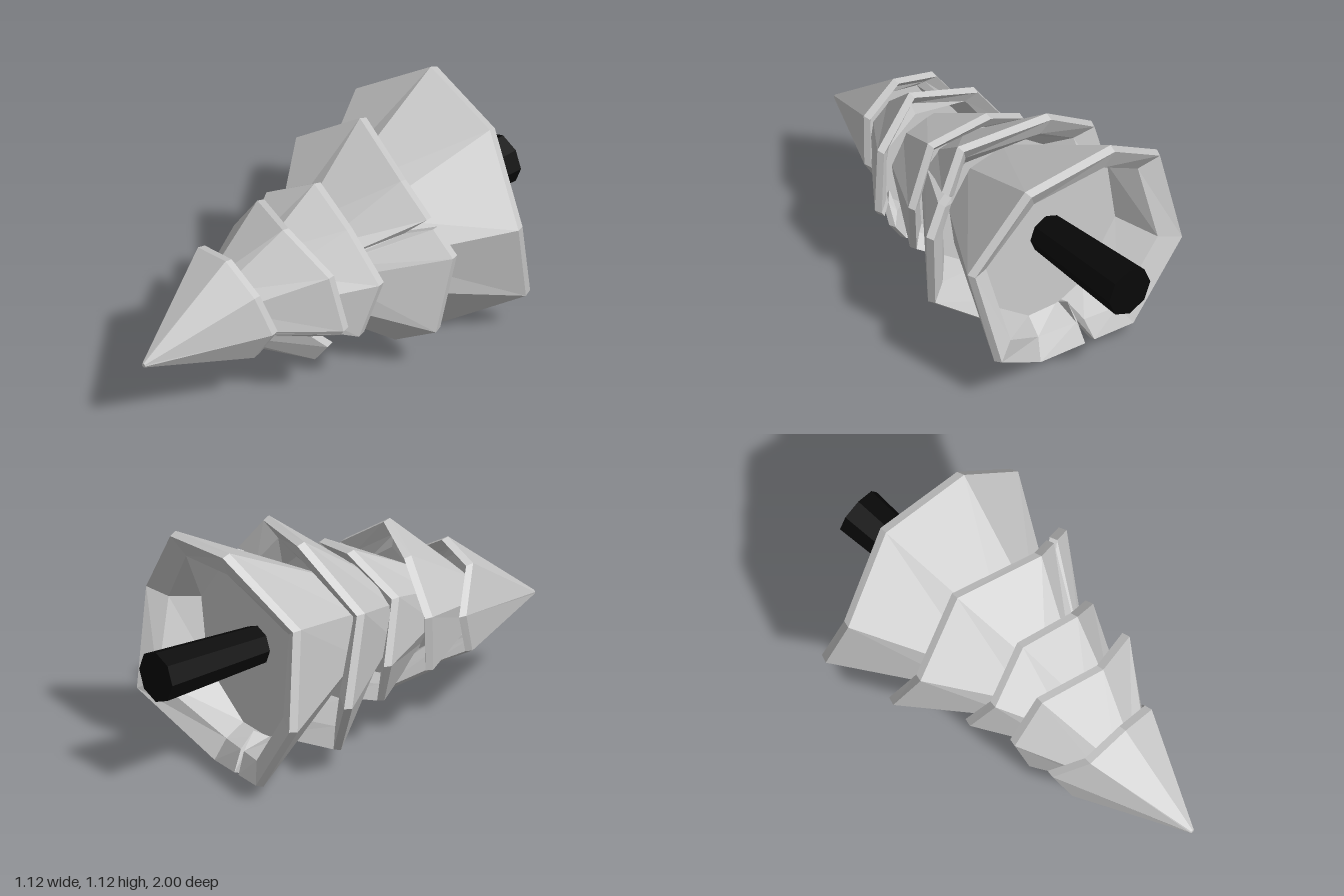
import * as THREE from 'three';

const grey = new THREE.MeshStandardMaterial({ color: 0xcccccc, flatShading: true });
const black = new THREE.MeshStandardMaterial({ color: 0x080808, flatShading: true });

// Each tier is an eight-cornered skirt: centre, rim radius, angle of the first corner
// (degrees clockwise from the top, seen from the front), depth z of each corner,
// neck and hollow as [radius, z], and an optional split as [edge, from, to, depth, forward].
const TIERS = [
  { center: [-0.058, 0.53], radius: 0.268, start: -36, tip: [-0.06, 0.43], neck: [0.01, 1], hollow: [0.18, 0.59],
    depths: [0.55, 0.57, 0.56, 0.5, 0.51, 0.44, 0.5, 0.43] },
  { center: [0.013, 0.55], radius: 0.366, start: -32.5, tip: [-0.045, 0.52], neck: [0.13, 0.61], hollow: [0.24, 0.33],
    depths: [0.24, 0.34, 0.28, 0.24, 0.26, 0.17, 0.27, 0.23], split: [3, 0.12, 0.56, 0.8, 0.08] },
  { center: [-0.002, 0.54], radius: 0.37, start: -10, neck: [0.18, 0.37], hollow: [0.26, 0.12],
    depths: [0.02, 0.08, 0.03, 0.09, 0.01, 0.07, -0.01, 0.08] },
  { center: [0.003, 0.55], radius: 0.524, start: -15, neck: [0.2, 0.14], hollow: [0.32, -0.11],
    depths: [-0.3, -0.18, -0.26, -0.21, -0.26, -0.2, -0.33, -0.22], split: [1, 0.5, 0.62, 0.78, 0.07] },
  { center: [0, 0.56], radius: 0.577, start: -14, neck: [0.25, -0.09], hollow: [0.4, -0.45],
    depths: [-0.71, -0.66, -0.59, -0.69, -0.54, -0.65, -0.67, -0.6], split: [4, 0.48, 0.58, 0.84, 0.07] },
];

// Loft through rings from front to back, closed at both ends
function loft(rings, frontCentre, backCentre) {
  const pos = [];
  const tri = (...p) => p.forEach((v) => pos.push(...v));
  const n = rings[0].length;
  const first = rings[0], last = rings[rings.length - 1];
  for (let i = 0; i < n; i++) {
    const j = (i + 1) % n;
    for (let k = 0; k + 1 < rings.length; k++) {
      const a = rings[k], b = rings[k + 1];
      tri(a[i], a[j], b[j]);
      tri(a[i], b[j], b[i]);
    }
    tri(frontCentre, first[j], first[i]);
    tri(backCentre, last[i], last[j]);
  }
  const g = new THREE.BufferGeometry();
  g.setAttribute('position', new THREE.Float32BufferAttribute(pos, 3));
  g.computeVertexNormals();
  return g;
}

// Rim corners relative to the tier's centre, with the split cut into one edge
function makeRim({ radius, start, depths, split }) {
  const rim = depths.map((z, i) => {
    const a = THREE.MathUtils.degToRad(start + i * 45);
    return [radius * Math.sin(a), radius * Math.cos(a), z];
  });
  if (split) {
    const [edge, from, to, depth, forward] = split;
    const along = (t) => rim[edge].map((v, k) => THREE.MathUtils.lerp(v, rim[edge + 1][k], t));
    const [x, y, z] = along((from + to) / 2);
    rim.splice(edge + 1, 0, along(from), [x * depth, y * depth, z + forward], along(to));
  }
  return rim;
}

function makeTier(tier) {
  const { center, neck, hollow, tip = center } = tier;
  const rim = makeRim(tier);
  const scaled = (s, dz) => rim.map(([x, y, z]) => [center[0] + x * s, center[1] + y * s, z + dz]);
  // Flat circle matching the directions of the rim points
  const circle = ([r, z], [ox, oy]) => rim.map(([x, y]) => {
    const s = r / Math.hypot(x, y);
    return [ox + x * s, oy + y * s, z];
  });
  // Outer skirt, rim band, underside ledge, then the recessed hollow
  return loft(
    [circle(neck, tip), scaled(1, 0), scaled(0.975, -0.035), scaled(0.8, 0.01), circle(hollow, center)],
    [...tip, neck[1]], [...center, hollow[1]]
  );
}

export function createModel() {
  const tree = new THREE.Group();
  tree.name = 'fallenPine';

  // Foliage, from the tip to the widest tier
  TIERS.forEach((tier, i) => {
    const mesh = new THREE.Mesh(makeTier(tier), grey);
    mesh.name = `foliageTier${i + 1}`;
    tree.add(mesh);
  });

  // Trunk, flaring slightly towards the back
  const trunk = new THREE.Mesh(new THREE.CylinderGeometry(0.085, 0.115, 0.6, 8), black);
  trunk.rotation.x = Math.PI / 2;
  trunk.position.set(0, 0.57, -0.7);
  trunk.name = 'trunk';
  tree.add(trunk);

  return tree;
}
